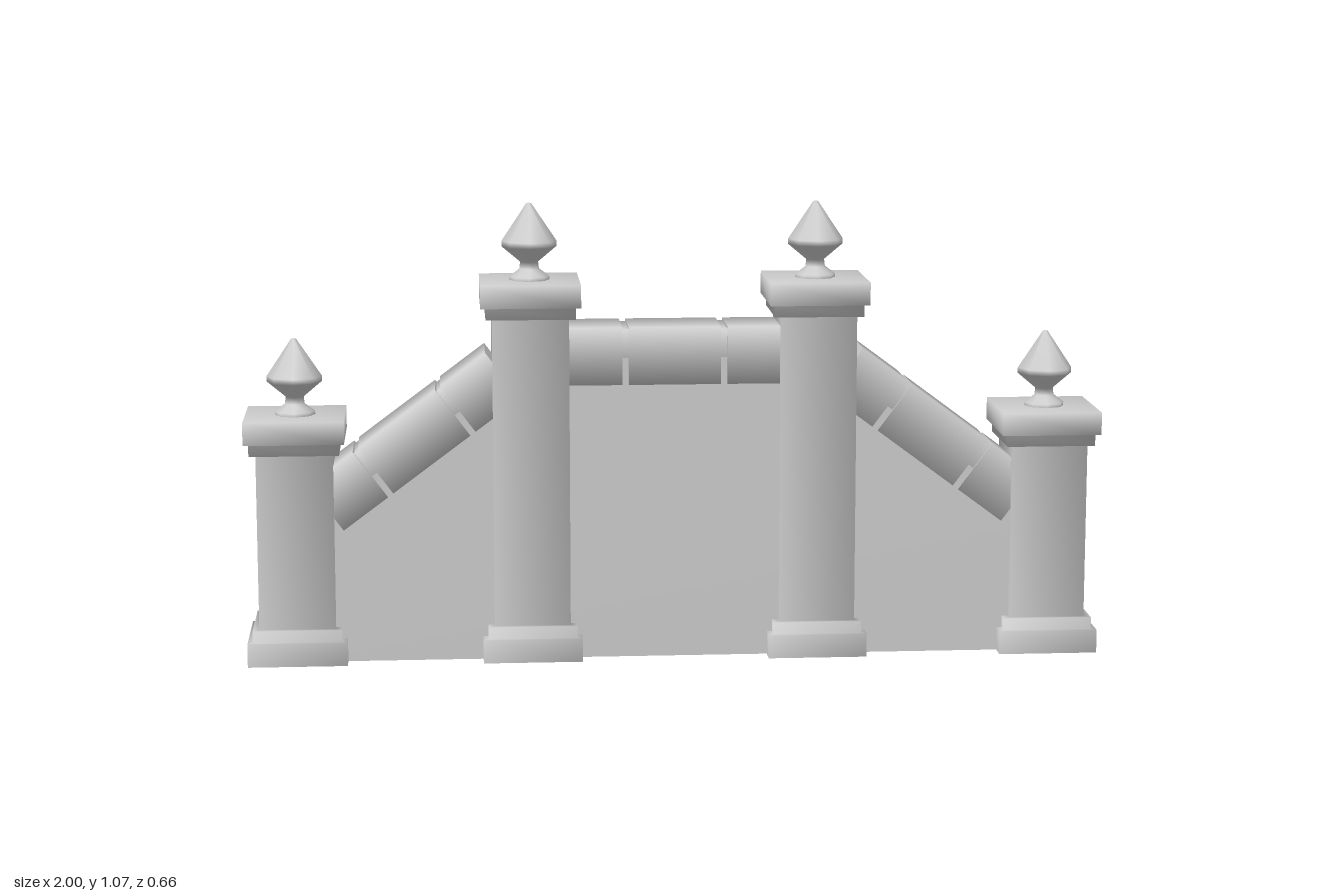
import * as THREE from 'three';

const solid = new THREE.MeshStandardMaterial({ color: 0xcccccc });
const open = new THREE.MeshStandardMaterial({ color: 0xcccccc, side: THREE.DoubleSide });
const ROW_Z = 0.216; // centre line of posts, rails and wall
const WALL_HALF = 0.071;
const BACK_Z = -0.333;

function addMesh(parent, name, geometry, material = solid) {
  const mesh = new THREE.Mesh(geometry, material);
  mesh.name = name;
  parent.add(mesh);
  return mesh;
}

// Softly shaded square column from [halfWidth, y] points.
function squareLathe(profile) {
  const points = profile.map(([half, y]) => new THREE.Vector2(half * Math.SQRT2, y));
  return new THREE.LatheGeometry(points, 4, Math.PI / 4);
}

// Square post, hollow underneath, with stepped base, stepped cap and faceted finial.
function makePost(x, top) {
  const post = new THREE.Group();
  post.name = 'post';
  post.position.set(x, 0, ROW_Z);
  addMesh(post, 'postColumn', squareLathe([
    [0.116, 0], [0.116, 0.055], [0.104, 0.055], [0.104, 0.083], [0.089, 0.083],
    [0.089, top - 0.081], [0.104, top - 0.081], [0.104, top - 0.053],
    [0.116, top - 0.053], [0.116, top], [0, top],
  ]), open);
  const finialProfile = [
    [0.047, 0], [0.047, 0.008], [0.023, 0.026], [0.021, 0.042],
    [0.064, 0.078], [0.064, 0.091], [0.006, 0.178], [0, 0.18],
  ].map(([r, y]) => new THREE.Vector2(r, y));
  addMesh(post, 'finial', new THREE.LatheGeometry(finialProfile, 8)).position.y = top;
  return post;
}

// Four-sided bar along x, softly shaded around its section.
function bar(length, height, depth) {
  const geometry = new THREE.CylinderGeometry(Math.SQRT1_2, Math.SQRT1_2, 1, 4);
  geometry.rotateY(Math.PI / 4);
  geometry.rotateZ(Math.PI / 2);
  return geometry.scale(length, height, depth);
}

// Rail of three blocks with narrow recessed joints between them.
function makeRail(x, y, angle, middle, end) {
  const rail = new THREE.Group();
  rail.name = 'rail';
  rail.position.set(x, y, ROW_Z);
  rail.rotation.z = angle;
  const gap = 0.015;
  addMesh(rail, 'railCore', bar(middle + 2 * gap + end, 0.124, 0.138));
  addMesh(rail, 'railBlock', bar(middle, 0.135, 0.149));
  for (const side of [-1, 1]) {
    const block = addMesh(rail, 'railBlock', bar(end, 0.135, 0.149));
    block.position.x = side * (middle / 2 + gap + end / 2);
  }
  return rail;
}

// Thin folded sheet: stairs up, landing, stairs down, with rounded nosings.
function makeSteps() {
  const half = [];
  const edges = [0.409, 0.559, 0.709, 0.864];
  const heights = [0.542, 0.413, 0.284, 0.155];
  edges.forEach((x, i) => {
    const y = heights[i];
    const nextY = i < 3 ? heights[i + 1] : 0;
    half.push([x - 0.012, y], [x - 0.003, y - 0.004], [x, y - 0.014],
      [x - 0.003, y - 0.027], [x - 0.02, y - 0.037], [x - 0.02, nextY]);
  });
  const profile = [...half.map(([x, y]) => [-x, y]).reverse(), ...half];
  const geometry = new THREE.PlaneGeometry(1, 1, profile.length - 1, 1);
  const position = geometry.attributes.position;
  for (let i = 0; i < position.count; i++) {
    const [x, y] = profile[i % profile.length];
    position.setXYZ(i, x, y, i < profile.length ? BACK_Z : ROW_Z - WALL_HALF);
  }
  geometry.computeVertexNormals();
  return geometry;
}

// One face of the hollow wall below the rails.
function makeWallFace() {
  const outline = [
    [-0.884, 0], [0.884, 0], [0.884, 0.311], [0.335, 0.713], [-0.335, 0.713], [-0.884, 0.311],
  ].map(([x, y]) => new THREE.Vector2(x, y));
  return new THREE.ShapeGeometry(new THREE.Shape(outline));
}

export function createModel() {
  const model = new THREE.Group();
  model.name = 'steppedBridge';

  for (const side of [-1, 1]) {
    model.add(makePost(side * 0.884, 0.578));
    model.add(makePost(side * 0.335, 0.89));
    model.add(makeRail(side * 0.607, 0.522, -side * 0.64, 0.225, 0.13));
    const face = addMesh(model, side > 0 ? 'wallFront' : 'wallBack', makeWallFace(), open);
    face.position.z = ROW_Z + side * WALL_HALF;
  }
  model.add(makeRail(0, 0.7175, 0, 0.215, 0.15));

  addMesh(model, 'steps', makeSteps(), open);
  return model;
}
